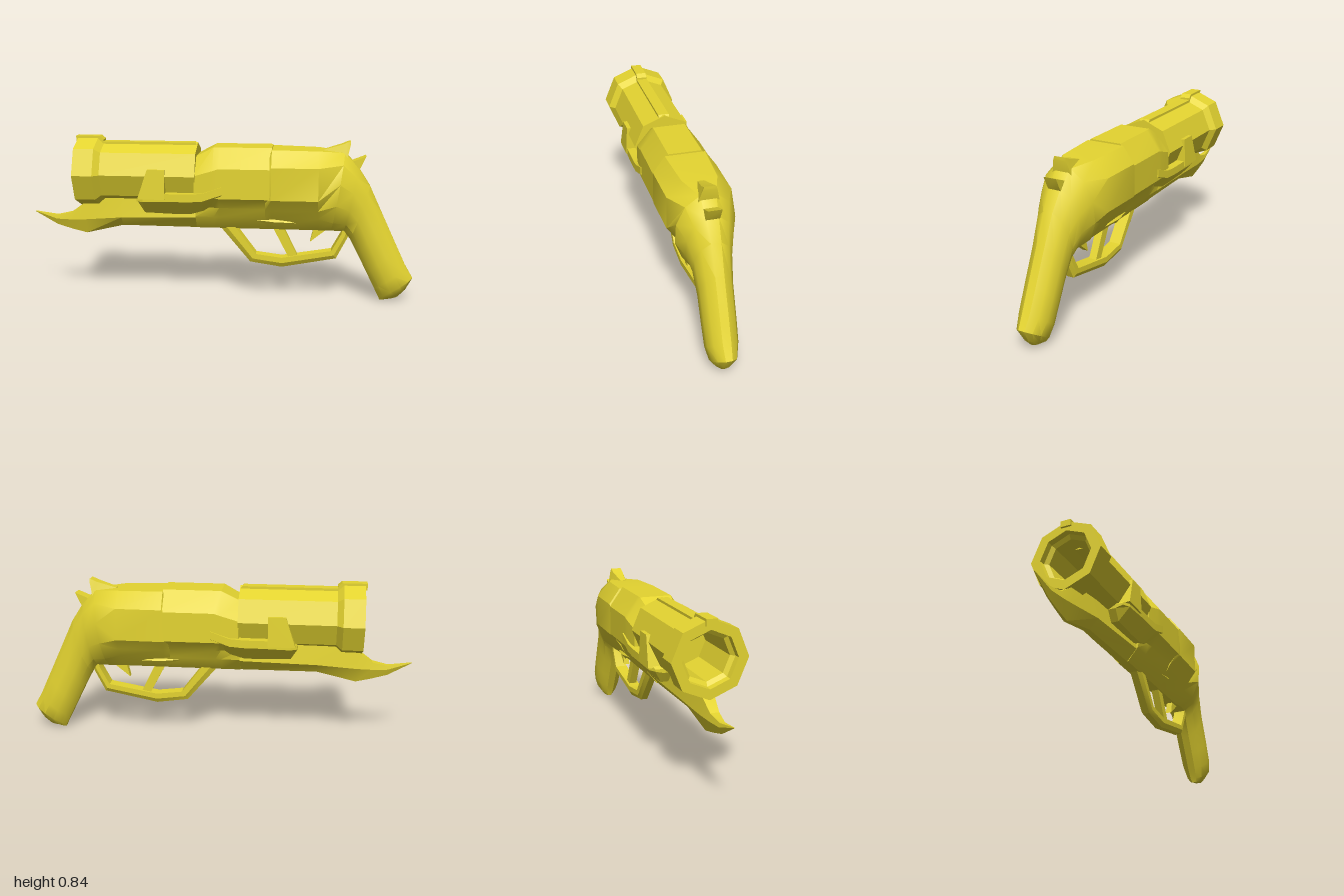
import * as THREE from 'three';
import { toCreasedNormals } from 'three/addons/utils/BufferGeometryUtils.js';

const material = new THREE.MeshStandardMaterial({ color: 0xe4d430 });
const AXIS = 0.657; // barrel height

function add(group, name, geometry, crease = 0.4) {
  const g = geometry.index ? geometry.toNonIndexed() : geometry;
  const mesh = new THREE.Mesh(toCreasedNormals(g, crease), material);
  mesh.name = name;
  group.add(mesh);
}

// Skin closed rings of [x, y, z] points, capped at both ends
function loft(rings) {
  const n = rings[0].length, pos = rings.flat(2), idx = [];
  for (let i = 0; i < rings.length - 1; i++) {
    for (let j = 0; j < n; j++) {
      const a = i * n + j, b = i * n + (j + 1) % n;
      idx.push(a, b, a + n, b, b + n, a + n);
    }
  }
  [0, rings.length - 1].forEach((r, end) => {
    const c = pos.length / 3;
    for (let k = 0; k < 3; k++) pos.push(rings[r].reduce((s, p) => s + p[k], 0) / n);
    for (let j = 0; j < n; j++) {
      const a = r * n + j, b = r * n + (j + 1) % n;
      end ? idx.push(c, a, b) : idx.push(c, b, a);
    }
  });
  const g = new THREE.BufferGeometry();
  g.setAttribute('position', new THREE.Float32BufferAttribute(pos, 3));
  g.setIndex(idx);
  return g;
}

// Complete a ring from its left half, listed top to bottom
function mirror(half) {
  return [...half, ...half.map(([x, y, z]) => [x, y, -z]).reverse()];
}

// Mirrored upright ring of [z, y] points at station x
function section(x, half) {
  return mirror(half.map(([z, y]) => [x, y, z]));
}

// Side outline in x/y, extruded symmetrically across z
function plate(outline, halfWidth) {
  const shape = new THREE.Shape(outline.map(p => new THREE.Vector2(...p)));
  const g = new THREE.ExtrudeGeometry(shape, { depth: 2 * halfWidth, bevelEnabled: false });
  return g.translate(0, 0, -halfWidth);
}

export function createModel() {
  const model = new THREE.Group();
  model.name = 'revolver';

  // Octagonal barrel with flared muzzle and stepped open bore
  const profile = [[0, -0.42], [0.112, -0.42], [0.112, -0.7], [0.132, -0.715], [0.135, -0.745],
    [0.185, -0.745], [0.185, -0.64], [0.157, -0.61], [0.157, -0.12], [0, -0.12]];
  const barrel = new THREE.LatheGeometry(profile.map(p => new THREE.Vector2(...p)), 8);
  add(model, 'barrel', barrel.rotateZ(-Math.PI / 2).translate(0, AXIS, 0));

  // Sight rib and front sight
  add(model, 'sightRib', plate([[-0.62, 0.76], [-0.125, 0.76], [-0.125, 0.805], [-0.135, 0.815],
    [-0.62, 0.815]], 0.028));
  add(model, 'frontSight', plate([[-0.755, 0.81], [-0.63, 0.8], [-0.61, 0.78], [-0.61, 0.825],
    [-0.63, 0.843], [-0.755, 0.843]], 0.027));

  // Pointed V-bottomed keel under the barrel: x, top, crease, bottom, half width, bottom half width
  const keel = [[-1, 0.434, 0.432, 0.43, 0.002, 0.001], [-0.88, 0.415, 0.395, 0.363, 0.016, 0.003],
    [-0.8, 0.432, 0.395, 0.34, 0.027, 0.005], [-0.72, 0.49, 0.4, 0.322, 0.038, 0.008],
    [-0.52, 0.54, 0.42, 0.37, 0.06, 0.015], [-0.12, 0.54, 0.432, 0.37, 0.075, 0.022],
    [0.1, 0.5, 0.44, 0.37, 0.08, 0.025]];
  add(model, 'keel', loft(keel.map(([x, t, c, b, w, bw]) =>
    section(x, [[0.8 * w, t], [w, c], [bw, b]]))));

  // Drum housing: x, top, top half width, shoulder, half width, hip half width
  const drum = [[-0.125, 0.75, 0.07, 0.66, 0.145, 0.09], [-0.03, 0.8, 0.083, 0.69, 0.155, 0.1],
    [0.0, 0.8, 0.083, 0.7, 0.156, 0.105], [0.265, 0.8, 0.083, 0.7, 0.156, 0.105]];
  add(model, 'drumHousing', loft(drum.map(([x, t, a, s, w, hip]) =>
    section(x, [[a, t], [w, s], [w, 0.548], [hip, 0.492], [0.083, 0.44], [0.027, 0.37]]))));

  // Rear frame flowing into the curved grip
  const frame = [[0.235, 0.72, 0.09, 0.68, 0.15], [0.265, 0.792, 0.1, 0.71, 0.158],
    [0.5, 0.787, 0.085, 0.71, 0.155]].map(([x, t, a, s, w]) =>
    section(x, [[a, t], [w, s], [w, 0.545], [0.72 * w, 0.485], [0.083, 0.44], [0.027, 0.37]]));
  // Grip stations: front x, y, back x, y, half width
  const grip = [[0.57, 0.372, 0.63, 0.775, 0.14], [0.635, 0.37, 0.7, 0.7, 0.11],
    [0.668, 0.33, 0.762, 0.605, 0.089], [0.715, 0.24, 0.825, 0.47, 0.079],
    [0.76, 0.15, 0.905, 0.3, 0.077], [0.8, 0.07, 0.957, 0.19, 0.074],
    [0.826, 0.018, 0.995, 0.125, 0.06], [0.833, 0.0, 0.962, 0.06, 0.036],
    [0.86, 0.006, 0.925, 0.02, 0.018]].map(([fx, fy, bx, by, w]) =>
    mirror(Array.from({ length: 6 }, (_, i) => {
      const a = (i + 0.5) / 6 * Math.PI, k = Math.cos(Math.PI / 12);
      const t = (1 + Math.cos(a) / k) / 2;
      return [fx + (bx - fx) * t, fy + (by - fy) * t, w * Math.sin(a) / k];
    })));
  add(model, 'frameAndGrip', loft([...frame, ...grip]), 0.6);

  // Rear sight, tapering upward to its tip: x, top, top half width, bottom, bottom half width
  const sight = [[0.52, 0.786, 0.015, 0.75, 0.03], [0.62, 0.817, 0.028, 0.71, 0.06],
    [0.637, 0.825, 0.028, 0.73, 0.055], [0.657, 0.832, 0.028, 0.815, 0.034]];
  add(model, 'rearSight', loft(sight.map(([x, t, a, b, w]) => section(x, [[a, t], [w, b]]))));
  // Hammer spur
  add(model, 'hammer', plate([[0.6, 0.7], [0.68, 0.66], [0.71, 0.7], [0.737, 0.758],
    [0.655, 0.725]], 0.033));

  // Trigger guard with a chamfered outer edge: inner x, y, outer x, y
  const guard = [[0.06, 0.4, -0.015, 0.39], [0.185, 0.235, 0.155, 0.19], [0.32, 0.218, 0.32, 0.166],
    [0.575, 0.262, 0.6, 0.22], [0.625, 0.355, 0.658, 0.335], [0.63, 0.385, 0.67, 0.385]];
  add(model, 'triggerGuard', loft(guard.map(([ix, iy, ox, oy]) => mirror([
    [ix, iy, 0.032], [ox + (ix - ox) * 0.45, oy + (iy - oy) * 0.45, 0.032], [ox, oy, 0.018]]))));
  // Guard strut and trigger
  add(model, 'guardStrut', plate([[0.265, 0.39], [0.36, 0.21], [0.405, 0.22], [0.32, 0.39]], 0.02));
  add(model, 'trigger', plate([[0.485, 0.39], [0.465, 0.305], [0.57, 0.39]], 0.016));

  for (const side of [1, -1]) {
    // Side rail hugging the barrel: x, top, middle, bottom, outer z
    const rail = [[-0.42, 0.535, 0.525, 0.515, 0.14], [-0.385, 0.57, 0.525, 0.46, 0.16],
      [-0.24, 0.57, 0.53, 0.455, 0.165], [-0.15, 0.57, 0.53, 0.455, 0.165],
      [-0.08, 0.575, 0.535, 0.475, 0.165], [0.02, 0.61, 0.57, 0.54, 0.162]];
    add(model, 'sideRail', loft(rail.map(([x, t, m, b, z]) => {
      const ring = [[x, t, 0.1], [x, t, z], [x, m, z], [x, b, 0.1], [x, b, 0.06]];
      return side > 0 ? ring : ring.reverse().map(([px, py, pz]) => [px, py, -pz]);
    })));

    // Upright tab on the rail, leaning in with the barrel
    const tab = plate([[-0.41, -0.06], [-0.272, -0.06], [-0.272, 0.09], [-0.36, 0.09]], 0.03);
    add(model, 'sideTab', tab.rotateX(-side * 0.05).translate(0, 0.6, side * 0.139));

    // Lens-shaped boss low on the frame
    const boss = new THREE.OctahedronGeometry(1).scale(0.11, 0.024, 0.018);
    add(model, 'sideBoss', boss.rotateZ(-0.06).translate(0.28, 0.42, side * 0.068));
  }
  return model;
}
